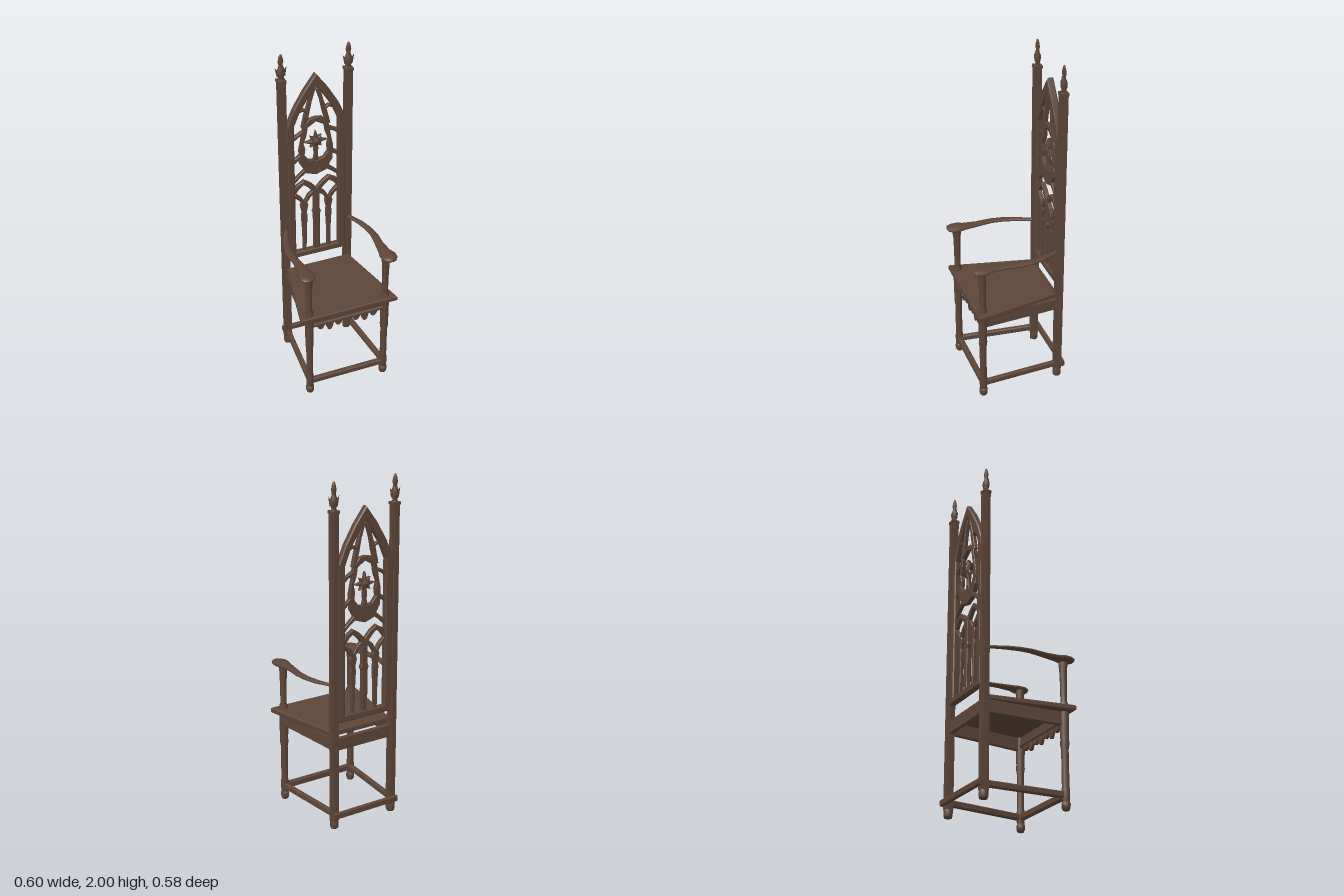
import * as THREE from 'three';

const wood = new THREE.MeshStandardMaterial({ color: 0x5d4538 });
wood.name = 'dark brown wood';
const BACK_Z = -0.248;

export function createModel() {
  const model = new THREE.Group();
  model.name = 'highBackChair';

  const add = (name, geo, x = 0, y = 0, z = 0, parent = model) => {
    const m = new THREE.Mesh(geo, wood);
    m.name = name;
    m.position.set(x, y, z);
    parent.add(m);
    return m;
  };
  const shapeOf = (pts) => new THREE.Shape(pts.map(([x, y]) => new THREE.Vector2(x, y)));
  // plate standing in the x-y plane, centred on z
  const plate = (shape, depth, bevel = 0.004) =>
    new THREE.ExtrudeGeometry(shape, {
      depth: depth - 2 * bevel, bevelEnabled: bevel > 0, bevelThickness: bevel,
      bevelSize: bevel, bevelOffset: -bevel, bevelSegments: 1, curveSegments: 6,
    }).translate(0, 0, -depth / 2 + bevel);
  // upright prism from a plan outline given as (x, z)
  const prism = (pts, h, bevel) =>
    plate(shapeOf(pts.map(([x, z]) => [x, -z])), h, bevel).rotateX(-Math.PI / 2).translate(0, h / 2, 0);
  // flat strip along [x, y, halfWidth] points
  const strip = (pts, depth) => {
    const a = [], b = [];
    pts.forEach(([x, y, w], i) => {
      const p = pts[Math.max(i - 1, 0)], q = pts[Math.min(i + 1, pts.length - 1)];
      const dx = q[0] - p[0], dy = q[1] - p[1], l = Math.hypot(dx, dy);
      a.push([x - (dy / l) * w, y + (dx / l) * w]);
      b.unshift([x + (dy / l) * w, y - (dx / l) * w]);
    });
    return plate(shapeOf([...a, ...b]), depth, 0.003);
  };
  // level bar between two plan points
  const bar = (name, [x1, z1], [x2, z2], y, w, h) => {
    const l = Math.hypot(x2 - x1, z2 - z1);
    const c = 0.2 * w;
    const s = shapeOf([[-w / 2 + c, -h / 2], [w / 2 - c, -h / 2], [w / 2, -h / 2 + c], [w / 2, h / 2 - c],
      [w / 2 - c, h / 2], [-w / 2 + c, h / 2], [-w / 2, h / 2 - c], [-w / 2, -h / 2 + c]]);
    const m = add(name, plate(s, l, 0), (x1 + x2) / 2, y, (z1 + z2) / 2);
    m.rotation.y = Math.atan2(x2 - x1, z2 - z1);
  };
  // body lofted through elliptical sections [x, y, z, halfWidth, halfHeight]
  const loft = (secs, n = 10) => {
    const pos = [], idx = [];
    secs.forEach(([x, y, z, w, h]) => {
      for (let j = 0; j < n; j++) {
        const t = (j / n) * Math.PI * 2;
        pos.push(x + w * Math.cos(t), y + h * Math.sin(t), z);
      }
    });
    for (let i = 0; i < secs.length - 1; i++)
      for (let j = 0; j < n; j++) {
        const a = i * n + j, b = i * n + ((j + 1) % n);
        idx.push(a, b, a + n, b, b + n, a + n);
      }
    const g = new THREE.BufferGeometry();
    g.setAttribute('position', new THREE.Float32BufferAttribute(pos, 3));
    g.setIndex(idx);
    g.computeVertexNormals();
    return g;
  };
  const lathe = (pts, n) => new THREE.LatheGeometry(pts.map(([r, y]) => new THREE.Vector2(r, y)), n);

  // seat board
  add('seat', prism([[-0.3, 0.267], [0.3, 0.267], [0.2, -0.228], [-0.2, -0.228]], 0.032, 0.006), 0, 0.554, 0);

  // stepped moulding used for the rear posts
  const r = 0.023, k = 0.015;
  const moulded = [[-k, r], [k, r], [k, k], [r, k], [r, -k], [k, -k], [k, -r], [-k, -r], [-k, -k], [-r, -k], [-r, k], [-k, k]];

  for (const s of [-1, 1]) {
    const side = s > 0 ? 'left' : 'right';
    const px = 0.197 * s, lx = 0.236 * s;

    // rear post with foot and collar
    add(side + 'RearPost', prism(moulded, 1.79, 0), px, 0.045, BACK_Z);
    add(side + 'RearFoot', lathe([[0, 0], [0.022, 0], [0.026, 0.012], [0.026, 0.04], [0.02, 0.055], [0, 0.058]], 8), px, 0, BACK_Z);
    add(side + 'PostCollar', new THREE.BoxGeometry(0.048, 0.016, 0.048), px, 1.838, BACK_Z);

    // leaf finial
    const finial = new THREE.Group();
    finial.name = side + 'Finial';
    finial.position.set(px, 1.845, BACK_Z);
    finial.scale.z = 0.75;
    model.add(finial);
    add('finialCore', lathe([[0.02, 0], [0.014, 0.014], [0.023, 0.028], [0.026, 0.055], [0.015, 0.078],
      [0.012, 0.092], [0.017, 0.11], [0.012, 0.135], [0.007, 0.15], [0, 0.155]], 8), 0, 0, 0, finial);
    for (const d of [-1, 1]) {
      const leaf = add('finialLeaf', new THREE.ConeGeometry(0.013, 0.055, 5), 0.024 * d, 0.054, 0, finial);
      leaf.rotation.z = -0.4 * d;
    }

    // front leg
    add(side + 'FrontLeg', lathe([[0.018, 0.04], [0.023, 0.06], [0.024, 0.11], [0.021, 0.13], [0.021, 0.34],
      [0.026, 0.37], [0.024, 0.4], [0.026, 0.43], [0.027, 0.556]], 8), lx, 0, 0.228);
    add(side + 'FrontFoot', lathe([[0, 0], [0.018, 0], [0.024, 0.014], [0.026, 0.035], [0.019, 0.052], [0, 0.055]], 8), lx, 0, 0.228);

    // arm support and curved arm rest
    add(side + 'ArmSupport', lathe([[0.026, 0], [0.026, 0.02], [0.019, 0.035], [0.02, 0.15], [0.023, 0.24],
      [0.026, 0.255], [0.026, 0.29]], 8), lx, 0.58, 0.228);
    add(side + 'ArmRest', loft([
      [0.195 * s, 0.863, -0.25, 0.012, 0.007], [0.2 * s, 0.863, -0.22, 0.014, 0.008],
      [0.234 * s, 0.863, -0.14, 0.02, 0.009], [0.254 * s, 0.864, -0.06, 0.022, 0.009],
      [0.26 * s, 0.865, 0.01, 0.023, 0.01], [0.25 * s, 0.866, 0.1, 0.026, 0.011],
      [0.247 * s, 0.867, 0.18, 0.036, 0.013], [0.25 * s, 0.866, 0.215, 0.049, 0.016],
      [0.25 * s, 0.866, 0.25, 0.047, 0.016], [0.252 * s, 0.866, 0.277, 0.03, 0.013],
      [0.252 * s, 0.866, 0.287, 0, 0]]), 0, 0, 0);

    // side rails
    bar(side + 'Apron', [lx, 0.22], [px, -0.23], 0.514, 0.022, 0.076);
    bar(side + 'Stretcher', [lx, 0.228], [px, BACK_Z], 0.084, 0.028, 0.036);
  }

  // front and rear rails
  bar('frontStretcher', [-0.24, 0.228], [0.24, 0.228], 0.084, 0.03, 0.038);
  bar('rearStretcher', [-0.22, -0.277], [0.22, -0.277], 0.084, 0.024, 0.036);
  bar('rearApron', [-0.19, BACK_Z], [0.19, BACK_Z], 0.514, 0.024, 0.076);
  bar('frontApronBead', [-0.215, 0.228], [0.215, 0.228], 0.505, 0.036, 0.026);

  // front apron with scalloped lower edge
  const apron = new THREE.Shape();
  apron.moveTo(0.22, 0.555);
  apron.lineTo(-0.22, 0.555);
  apron.lineTo(-0.22, 0.49);
  [-0.165, -0.11, -0.055, 0, 0.055, 0.11, 0.165].forEach((x, i) => {
    const low = i % 2 ? 0.442 : 0.46;
    apron.lineTo(x - 0.024, 0.488);
    apron.quadraticCurveTo(x - 0.016, low, x, low);
    apron.quadraticCurveTo(x + 0.016, low, x + 0.024, 0.488);
  });
  apron.lineTo(0.22, 0.49);
  add('frontApron', plate(apron, 0.02, 0.003), 0, 0, 0.226);

  // pointed back frame
  const back = new THREE.Group();
  back.name = 'backPanel';
  back.position.z = BACK_Z;
  model.add(back);
  const mirror = (pts) => [...pts, ...pts.slice().reverse().filter((p) => p[0] > 0).map(([x, y]) => [-x, y])];
  const frame = shapeOf(mirror([[0.177, 0.642], [0.177, 1.55], [0.133, 1.652], [0.07, 1.757], [0, 1.85]]));
  frame.holes.push(shapeOf(mirror([[0.134, 0.682], [0.134, 1.54], [0.097, 1.63], [0.045, 1.71], [0, 1.775]])));
  add('archFrame', plate(frame, 0.038, 0.006), 0, 0, 0, back);

  // oval rose ring with a heavy lower bowl
  const ring = shapeOf(mirror([[0, 1.2], [0.06, 1.22], [0.1, 1.29], [0.102, 1.38], [0.088, 1.45], [0.075, 1.53], [0.04, 1.57], [0, 1.577]]));
  ring.holes.push(shapeOf(mirror([[0, 1.295], [0.045, 1.305], [0.072, 1.34], [0.066, 1.38], [0.076, 1.42], [0.058, 1.47], [0.05, 1.52], [0, 1.55]])));
  add('roseRing', plate(ring, 0.026, 0.003), 0, 0, 0, back);

  // star boss in the rose
  const star = [];
  for (let i = 0; i < 16; i++) {
    const t = (i / 16) * Math.PI * 2, rad = i % 2 ? 0.03 : i % 4 ? 0.05 : 0.068;
    star.push([rad * Math.cos(t), rad * Math.sin(t)]);
  }
  add('roseStar', plate(shapeOf(star), 0.026, 0.005), 0, 1.42, 0, back);
  for (const d of [-1, 1]) {
    const boss = add('starBoss', new THREE.ConeGeometry(0.032, 0.018, 8), 0, 1.42, 0.018 * d, back);
    boss.rotation.x = (d * Math.PI) / 2;
  }
  add('roseLowerSpoke', strip([[0, 1.29, 0.02], [0, 1.33, 0.01], [0, 1.38, 0.014]], 0.022), 0, 0, 0, back);

  // central mullion
  add('mullion', strip([[0, 0.67, 0.018], [0, 0.92, 0.018], [0, 0.94, 0.026], [0, 0.96, 0.018], [0, 1.1, 0.016]], 0.028), 0, 0, 0, back);

  // mirrored tracery ribs
  const ribs = {
    colonnette: [[0.076, 0.67, 0.009], [0.076, 0.82, 0.012], [0.076, 0.93, 0.018], [0.076, 0.95, 0.013],
      [0.076, 1.0, 0.024], [0.076, 1.03, 0.014]],
    colonnetteOuterBranch: [[0.076, 1.01, 0.01], [0.1, 1.05, 0.012], [0.137, 1.085, 0.012]],
    colonnetteInnerBranch: [[0.076, 1.01, 0.01], [0.045, 1.06, 0.012], [0, 1.095, 0.015]],
    lancetOuter: [[0.137, 1.1, 0.012], [0.115, 1.135, 0.015], [0.075, 1.16, 0.012]],
    lancetInner: [[0.085, 1.165, 0.012], [0.045, 1.135, 0.015], [0, 1.085, 0.016]],
    lowerDiagonal: [[0.138, 1.175, 0.01], [0.1, 1.21, 0.01], [0.055, 1.245, 0.013]],
    ringTie: [[0.138, 1.31, 0.014], [0.115, 1.325, 0.01], [0.09, 1.34, 0.014]],
    upperTie: [[0.138, 1.46, 0.014], [0.11, 1.475, 0.009], [0.078, 1.49, 0.012]],
    gableRib: [[0.012, 1.76, 0.012], [0.035, 1.68, 0.01], [0.055, 1.6, 0.014], [0.075, 1.52, 0.012]],
    gableCusp: [[0.05, 1.615, 0.01], [0.075, 1.635, 0.008], [0.105, 1.63, 0.012]],
  };
  for (const [name, pts] of Object.entries(ribs))
    for (const s of [-1, 1])
      add(name, strip(pts.map(([x, y, w]) => [x * s, y, w]), 0.024), 0, 0, 0, back);

  return model;
}
